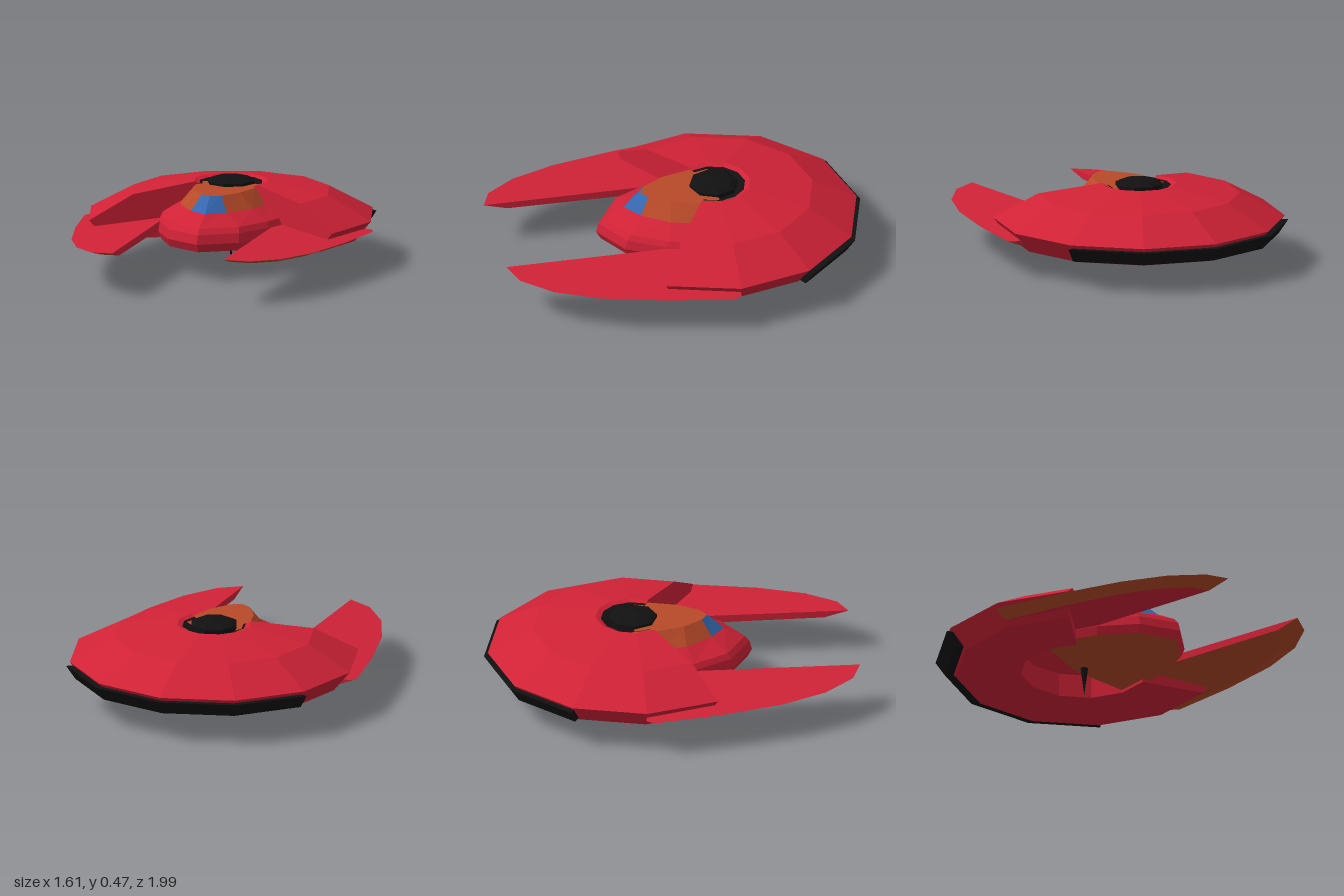
import * as THREE from 'three';

const RED = 0xd02236, ORANGE = 0xb84a28, BLUE = 0x3568b0, BLACK = 0x111111;
const HUB_Z = -0.2;
const rad = THREE.MathUtils.degToRad;

function makeMesh(name, color, geometry) {
  const material = new THREE.MeshStandardMaterial({ color, flatShading: true, side: THREE.DoubleSide });
  const mesh = new THREE.Mesh(geometry, material);
  mesh.name = name;
  return mesh;
}

function fromPoints(points) {
  const g = new THREE.BufferGeometry().setFromPoints(points);
  g.computeVertexNormals();
  return g;
}

// Quads between two rings (lower a, upper b), for edges from..to-1
function skin(a, b, from = 0, to = a.length) {
  const out = [];
  for (let i = from; i < to; i++) {
    const j = (i + 1) % a.length;
    out.push(a[i], a[j], b[j], a[i], b[j], b[i]);
  }
  return out;
}

// Fills a ring, facing up or down
function cap(ring, up) {
  const flat = ring.map(p => new THREE.Vector2(p.x, -p.z));
  return THREE.ShapeUtils.triangulateShape(flat, []).flatMap(([a, b, c]) => {
    const ccw = flat[b].clone().sub(flat[a]).cross(flat[c].clone().sub(flat[a])) > 0;
    return (ccw === up ? [a, b, c] : [a, c, b]).map(i => ring[i]);
  });
}

// Full ring from the left half of a plan, listed front to back
function mirrorRing(half, y, scale = 1) {
  const left = half.map(([x, z]) => new THREE.Vector3(x * scale, y, HUB_Z + (z - HUB_Z) * scale));
  const right = left.filter(p => p.x > 0).reverse().map(p => new THREE.Vector3(-p.x, p.y, p.z));
  return [...left, ...right];
}

// Closed section [r, y] swept round the hub in 30 degree steps, with end caps
function sector(name, color, section, startDeg, steps) {
  const group = new THREE.Group();
  group.name = name;
  group.position.z = HUB_Z;
  const pts = section.map(([r, y]) => new THREE.Vector2(r, y));
  const sweep = new THREE.LatheGeometry([...pts, pts[0]].reverse(), steps, rad(startDeg), rad(steps * 30));
  group.add(makeMesh(name + 'Shell', color, sweep));
  for (const deg of [startDeg, startDeg + steps * 30]) {
    const end = makeMesh(name + 'End', color, new THREE.ShapeGeometry(new THREE.Shape(pts)));
    end.rotation.y = rad(deg - 90);
    group.add(end);
  }
  return group;
}

function wing(side) {
  const group = new THREE.Group();
  group.name = side > 0 ? 'leftWing' : 'rightWing';
  const plan = [[0.31, 0.99], [0.44, 0.94], [0.57, 0.78], [0.67, 0.54],
    [0.75, 0.2], [0.805, -0.16], [0.785, -0.2], [0.31, -0.22]];
  const top = plan.map(([x, z]) =>
    new THREE.Vector3(x * side, 0.24 - 0.09 * (x - 0.31) + 0.008 * (1 - z), z));
  const bottom = plan.map(([x, z]) => {
    const inX = 0.31 + (x - 0.31) * 0.82;
    return new THREE.Vector3(inX * side, 0.205 - 0.09 * (inX - 0.31), z > 0 ? z * 0.87 : z);
  });
  const order = tris => {
    if (side < 0) for (let i = 0; i < tris.length; i += 3) [tris[i], tris[i + 1]] = [tris[i + 1], tris[i]];
    return fromPoints(tris);
  };
  group.add(
    makeMesh('wingTop', RED, fromPoints(cap(top, true))),
    makeMesh('wingUnderside', side > 0 ? ORANGE : RED, fromPoints(cap(bottom, false))),
    makeMesh('wingBevel', ORANGE, order(skin(bottom, top, 0, 6))),
    makeMesh('wingInnerEdge', RED, order(skin(bottom, top, 6, 8))));
  return group;
}

export function createModel() {
  const model = new THREE.Group();

  // Saucer with the front third cut away, and the dark engine strip at its back
  model.add(sector('saucer', RED, [[0.2, 0.435], [0.54, 0.38], [0.78, 0.25], [0.69, 0.14],
    [0.34, 0.14], [0.34, 0.27], [0.17, 0.39], [0.17, 0.42]], 60, 8));
  model.add(sector('engineStrip', BLACK, [[0.7, 0.23], [0.8, 0.23], [0.75, 0.155], [0.64, 0.155]], 120, 4));

  // Cockpit hull
  const hullPlan = [[0, 0.44], [0.2, 0.32], [0.31, 0.12], [0.35, -0.02], [0.35, -0.2], [0, -0.26]];
  const canopyBase = [[0, 0.29], [0.1, 0.215], [0.2, 0.07], [0.235, -0.08], [0.22, -0.24], [0, -0.26]];
  const canopyTop = [[0, 0.2], [0.055, 0.165], [0.125, 0.06], [0.165, -0.09], [0.18, -0.2], [0, -0.21]];
  const bottom = mirrorRing(hullPlan, 0.155, 0.96);
  const belt = mirrorRing(hullPlan, 0.2);
  const upper = mirrorRing(hullPlan, 0.25, 0.98);
  const shoulder = mirrorRing(hullPlan, 0.28, 0.94);
  const base = mirrorRing(canopyBase, 0.338);
  const roof = mirrorRing(canopyTop, 0.42);
  model.add(makeMesh('hull', RED, fromPoints([
    ...skin(bottom, belt), ...skin(belt, upper), ...skin(upper, shoulder), ...skin(shoulder, base)])));
  model.add(makeMesh('hullUnderside', ORANGE, fromPoints(cap(bottom, false))));

  // Canopy with a blue windscreen
  const n = base.length;
  model.add(makeMesh('canopy', ORANGE, fromPoints([...skin(base, roof, 1, n - 1), ...cap(roof, true)])));
  model.add(makeMesh('windscreen', BLUE, fromPoints([...skin(base, roof, 0, 1), ...skin(base, roof, n - 1, n)])));

  // Hub: dark seat behind the canopy and a faceted dome
  const lathe = (pts, sides, start = 0, length = Math.PI * 2) =>
    new THREE.LatheGeometry(pts.map(p => new THREE.Vector2(...p)), sides, start, length);
  const seat = makeMesh('hubSeat', BLACK, lathe([[0.1, 0.4], [0.172, 0.425]], 8, rad(60), rad(240)));
  const dome = makeMesh('hubDome', BLACK, lathe([[0.13, 0.39], [0.13, 0.435], [0.1, 0.45], [0, 0.466]], 8));
  // Needle under the hull
  const needle = makeMesh('needle', BLACK, new THREE.ConeGeometry(0.024, 0.17, 6));
  needle.rotation.x = Math.PI;
  needle.position.y = 0.085;
  for (const part of [seat, dome, needle]) {
    part.position.z = HUB_Z;
    model.add(part);
  }

  model.add(wing(1), wing(-1));
  return model;
}
